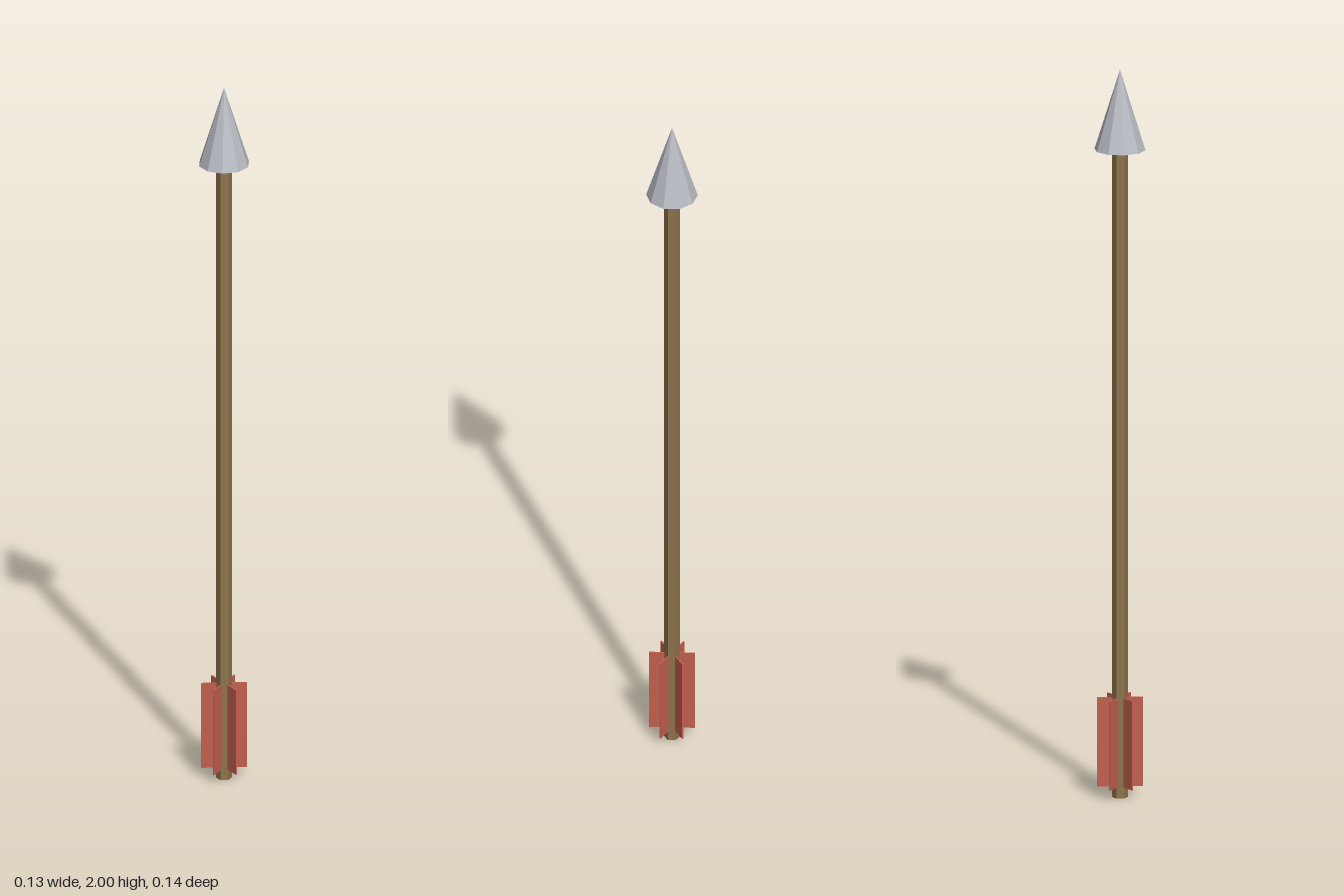
import * as THREE from 'three';

const material = (color) => new THREE.MeshStandardMaterial({ color, flatShading: true });

function addPart(parent, name, geometry, mat, y) {
  const mesh = new THREE.Mesh(geometry, mat);
  mesh.name = name;
  mesh.position.y = y;
  parent.add(mesh);
  return mesh;
}

export function createModel() {
  const arrow = new THREE.Group();
  arrow.name = 'arrow';

  const wood = material(0x8f744c);
  const metal = material(0xb8bac2);
  const feather = material(0xc4604f);

  // Six-sided shaft, from the ground to the base of the head
  const headBase = 1.78;
  addPart(arrow, 'shaft', new THREE.CylinderGeometry(0.021, 0.021, headBase, 6), wood, headBase / 2);

  // Ten-sided pointed head
  const headHeight = 2 - headBase;
  addPart(arrow, 'head', new THREE.ConeGeometry(0.069, headHeight, 10), metal, headBase + headHeight / 2);

  // Three thin vanes crossing through the shaft, 60 degrees apart
  const fletching = new THREE.Group();
  fletching.name = 'fletching';
  const vane = new THREE.BoxGeometry(0.004, 0.245, 0.122);
  for (let i = 0; i < 3; i++) {
    addPart(fletching, `vane${i + 1}`, vane, feather, 0.1525).rotation.y = (i * Math.PI) / 3;
  }
  arrow.add(fletching);

  return arrow;
}
